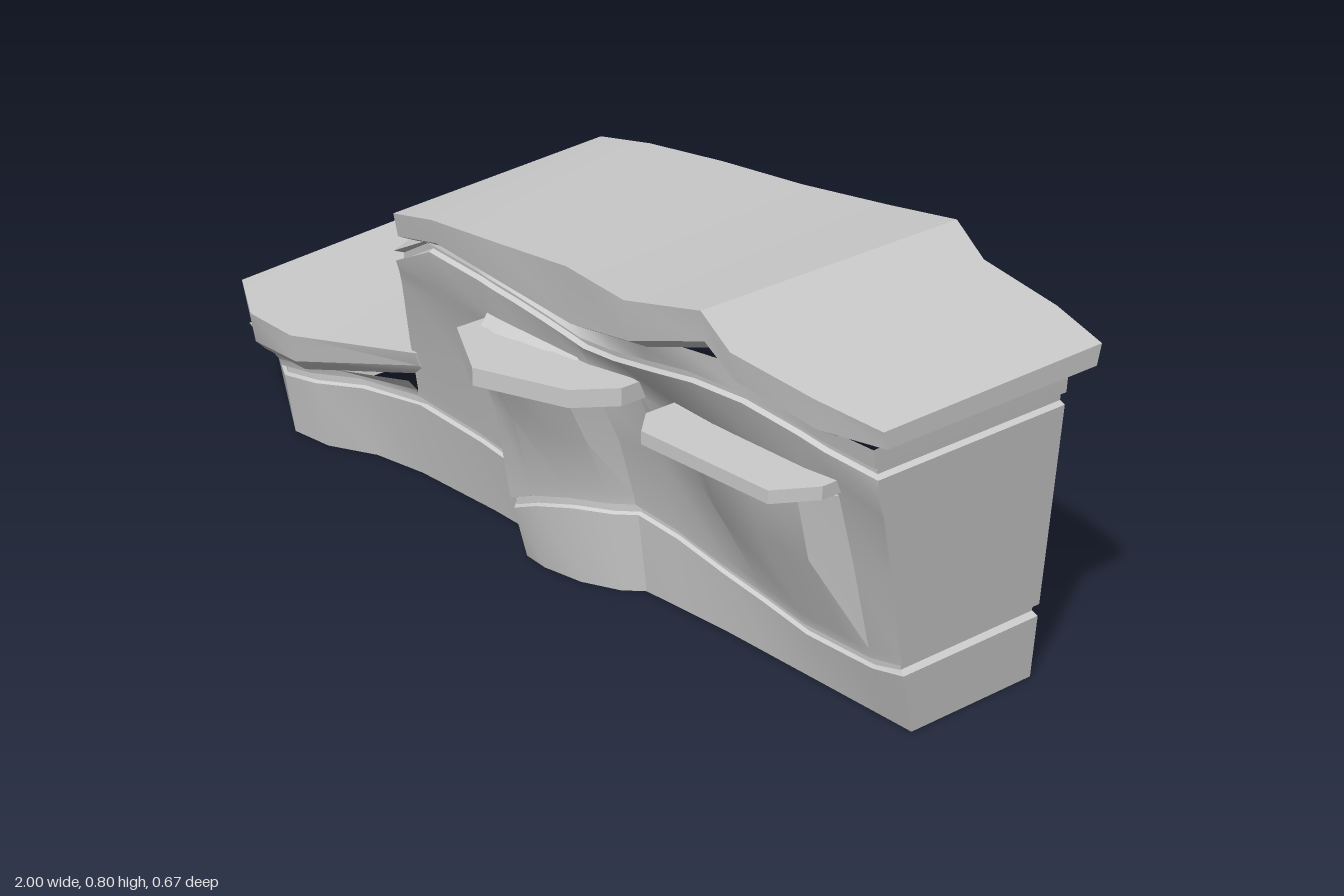
import * as THREE from 'three';
import { toCreasedNormals } from 'three/addons/utils/BufferGeometryUtils.js';

const BACK = -0.285;
const rock = new THREE.MeshStandardMaterial({ color: 0xcccccc, side: THREE.DoubleSide });

// Skin between columns of points (columns run right to left, points run upward).
function loft(columns, name) {
  const v = [];
  for (let i = 0; i < columns.length - 1; i++) {
    const a = columns[i], b = columns[i + 1];
    for (let j = 0; j < a.length - 1; j++) {
      v.push(...a[j], ...a[j + 1], ...b[j + 1], ...a[j], ...b[j + 1], ...b[j]);
    }
  }
  const g = new THREE.BufferGeometry();
  g.setAttribute('position', new THREE.Float32BufferAttribute(v, 3));
  const mesh = new THREE.Mesh(toCreasedNormals(g, 0.5), rock);
  mesh.name = name;
  return mesh;
}

// Front stations: x, lean of x per unit y, z at foot, z at lower groove, lower groove y,
// then for the tall wall: z at y .34, z at y .48, z at top, upper groove y.
const TALL = [
  [0.90, 0.08, 0.02, 0.065, 0.155, 0.11, 0.15, 0.185, 0.585],
  [0.83, 0, 0.02, 0.06, 0.135, 0.11, 0.15, 0.20, 0.60],
  [0.77, 0, 0.02, 0.055, 0.13, 0.16, 0.195, 0.21, 0.615],
  [0.65, 0, 0.02, 0.05, 0.125, 0.165, 0.20, 0.225, 0.635],
  [0.53, 0, 0.02, 0.045, 0.14, 0.155, 0.20, 0.235, 0.635],
  [0.42, 0, 0.02, 0.045, 0.155, 0.10, 0.15, 0.23, 0.615],
  [0.30, 0, 0.025, 0.05, 0.18, 0.085, 0.14, 0.215, 0.59],
  [0.20, 0, 0.03, 0.06, 0.195, 0.10, 0.17, 0.20, 0.575],
  [0.165, 0, 0.065, 0.095, 0.195, 0.15, 0.22, 0.20, 0.58],
  [0.09, 0, 0.10, 0.13, 0.19, 0.18, 0.25, 0.20, 0.59],
  [0.00, 0, 0.115, 0.145, 0.165, 0.19, 0.26, 0.20, 0.60],
  [-0.06, 0, 0.11, 0.15, 0.14, 0.185, 0.24, 0.20, 0.605],
  [-0.10, 0, 0.04, 0.08, 0.17, 0.11, 0.155, 0.20, 0.61],
  [-0.25, 0, 0.035, 0.075, 0.185, 0.11, 0.155, 0.20, 0.62],
  [-0.475, 0.21, 0.04, 0.08, 0.20, 0.12, 0.16, 0.195, 0.565],
];
const LOW = [
  TALL[TALL.length - 1],
  [-0.60, 0, 0.06, 0.10, 0.185],
  [-0.70, 0, 0.11, 0.145, 0.175],
  [-0.80, 0, 0.12, 0.15, 0.16],
  [-0.91, -0.23, 0.04, 0.07, 0.14],
];
// Cap stations: x, back z, front z, back top y, front top y, front lip y.
const TALL_CAP = [
  [1.00, -0.31, 0.22, 0.695, 0.69, 0.655],
  [0.87, -0.335, 0.255, 0.715, 0.715, 0.655],
  [0.69, -0.335, 0.28, 0.745, 0.745, 0.69],
  [0.62, -0.335, 0.285, 0.80, 0.80, 0.74],
  [0.45, -0.335, 0.31, 0.775, 0.77, 0.69],
  [0.22, -0.335, 0.245, 0.745, 0.74, 0.625],
  [0.00, -0.335, 0.235, 0.725, 0.715, 0.635],
  [-0.20, -0.325, 0.22, 0.705, 0.69, 0.64],
  [-0.33, -0.31, 0.21, 0.685, 0.66, 0.61],
];
const LOW_CAP = [
  [-0.39, -0.31, 0.12, 0.325, 0.32, 0.29],
  [-0.68, -0.31, 0.21, 0.31, 0.285, 0.225],
  [-0.83, -0.31, 0.20, 0.303, 0.28, 0.215],
  [-1.00, -0.31, 0.10, 0.295, 0.27, 0.22],
];
const TALL_INSET = 0.055, LOW_INSET = 0.035, BEVEL = 0.025;

// Leaning end stations are dented sideways as well as inward
const place = (s, rows) => rows.map(([y, z, dent = 0]) =>
  [s[0] + s[1] * y - (s[1] ? Math.sign(s[0]) * dent : 0), y, z - dent]);

// Return of an end column to the open back; its last point rises by `rise`
const toBack = (col, rise = 0, minY = 0) => col.map(([x, y], i) =>
  [x, Math.max(y + (i === col.length - 1 ? rise : 0), minY), BACK]);

// Where a wall meets the underside of a cap at x
function capUnder(cap, x, inset) {
  let i = 0;
  while (i < cap.length - 2 && cap[i + 1][0] > x) i++;
  const a = cap[i], b = cap[i + 1];
  const t = THREE.MathUtils.clamp((x - a[0]) / (b[0] - a[0]), 0, 1);
  return [THREE.MathUtils.lerp(a[5], b[5], t) - BEVEL, THREE.MathUtils.lerp(a[2], b[2], t) - inset];
}

// Foot band ending in a shallow groove
const footColumn = (s) => {
  const [, , z0, zg, g] = s;
  return place(s, [[0, z0], [g - 0.025, zg - 0.008], [g - 0.02, zg, 0.015], [g - 0.004, zg, 0.015], [g, zg]]);
};

// Tall wall with the bulges below the ledges and a groove near its top
const wallColumn = (s) => {
  const [x, , , zg, g, z34, z48, zt, t] = s;
  return place(s, [[g, zg], [g + 0.02, zg + 0.004], [0.34, z34], [0.485, z48], [0.52, Math.min(z48 + 0.015, 0.172)],
    [t - 0.02, zt - 0.012], [t - 0.015, zt - 0.01, 0.012], [t, zt - 0.008, 0.012], [t + 0.005, zt - 0.003],
    capUnder(TALL_CAP, x, TALL_INSET)]);
};

const lowColumn = (s) => {
  const [x, , , zg, g] = s;
  return place(s, [[g, zg], [g + 0.015, zg + 0.004], capUnder(LOW_CAP, x, LOW_INSET)]);
};

// Open-bottomed slab: top skin, rim, and an inward bevel under the rim (none on the left or right if flush)
function cap(st, name, lip, inset, rightInset, leftInset) {
  const group = new THREE.Group();
  group.name = name;
  group.add(loft(st.map(([x, zb, zf, yb, yf]) => [[x, yf, zf], [x, yb, zb]]), name + 'Top'));
  const first = st[0][0], last = st[st.length - 1][0];
  const inX = (x) => (x === first ? x - rightInset : x === last ? x + leftInset : x);
  const front = st.map(([x, , zf, , yf, yl]) =>
    [[inX(x), yl - BEVEL, zf - inset], [x, yl, zf - 0.01], [x, yf, zf]]);
  const back = st.map(([x, zb, , yb]) =>
    [[inX(x), yb - lip - 0.012, zb + 0.025], [x, yb - lip, zb + 0.01], [x, yb, zb]]).reverse();
  group.add(loft([...front, ...back, front[0]], name + 'Rim'));
  return group;
}

// Thin rock shelf from a plan outline of x, z points
function ledge(points, y, tilt, depth, name) {
  const shape = new THREE.Shape(points.map(([x, z]) => new THREE.Vector2(x, z)));
  const g = new THREE.ExtrudeGeometry(shape, { depth, bevelEnabled: false });
  g.rotateX(Math.PI / 2);
  const p = g.attributes.position;
  for (let i = 0; i < p.count; i++) {
    p.setY(i, p.getY(i) + y + tilt * (p.getX(i) - points[0][0]));
  }
  g.computeVertexNormals();
  const mesh = new THREE.Mesh(g, rock);
  mesh.name = name;
  return mesh;
}

export function createModel() {
  const model = new THREE.Group();
  model.name = 'rockCliff';

  // Foot runs unbroken along both blocks and returns to the open back
  const foot = [...TALL, ...LOW.slice(1)].map(footColumn);
  model.add(loft([toBack(foot[0]), ...foot, toBack(foot[foot.length - 1])], 'footBand'));

  // Upper walls; the tall block's left return starts at the low cap
  const tall = TALL.map(wallColumn);
  model.add(loft([toBack(tall[0], 0.013), ...tall, toBack(tall[tall.length - 1], 0.05, 0.31)], 'tallWall'));
  const low = LOW.map(lowColumn);
  model.add(loft([...low, toBack(low[low.length - 1], 0.055)], 'lowWall'));

  // Caps
  model.add(cap(TALL_CAP, 'tallCap', 0.04, TALL_INSET, TALL_INSET, -0.02));
  model.add(cap(LOW_CAP, 'lowCap', 0.03, LOW_INSET, 0, LOW_INSET));

  // Ledges
  model.add(ledge([[-0.11, 0.13], [-0.11, 0.235], [0.06, 0.335], [0.26, 0.275], [0.32, 0.2], [0.32, 0.12]], 0.505, 0.04, 0.036, 'rightLedge'));
  model.add(ledge([[0.42, 0.13], [0.42, 0.23], [0.47, 0.285], [0.79, 0.28], [0.84, 0.2], [0.84, 0.13]], 0.518, 0.012, 0.026, 'leftLedge'));
  return model;
}
